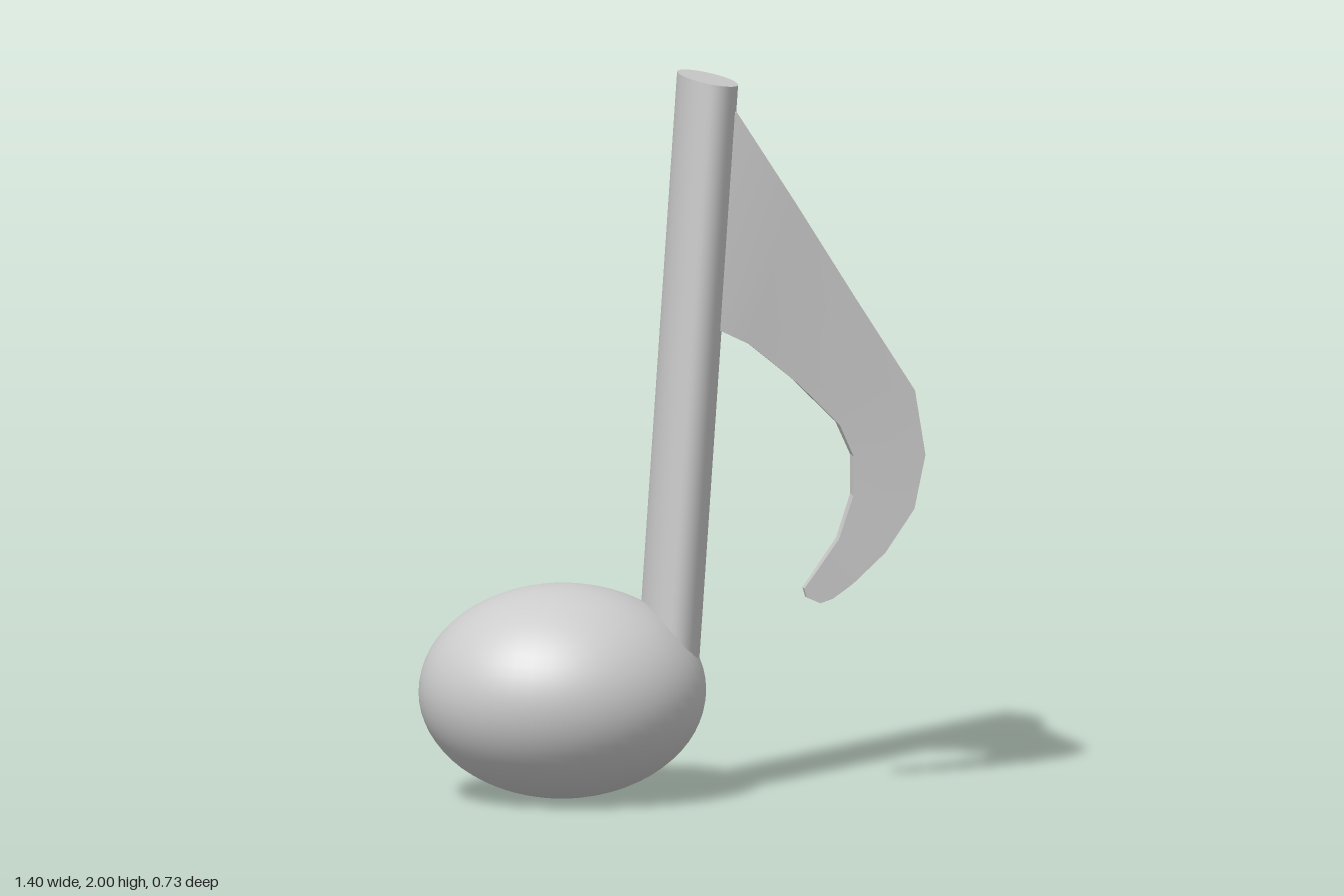
import * as THREE from 'three';
import { toCreasedNormals } from 'three/addons/utils/BufferGeometryUtils.js';

const grey = new THREE.MeshStandardMaterial({ color: 0xcccccc });

function addPart(group, name, geometry) {
  const mesh = new THREE.Mesh(geometry, grey);
  mesh.name = name;
  group.add(mesh);
  return mesh;
}

// Oval column leaning to +x, with a slanted top cap
function stemGeometry() {
  const bottom = 0.25, top = 1.985, rx = 0.082, rz = 0.147;
  const geo = new THREE.CylinderGeometry(1, 1, 1, 40, 1);
  const p = geo.attributes.position;
  for (let i = 0; i < p.count; i++) {
    const x = p.getX(i) * rx, t = p.getY(i) + 0.5;
    const y = bottom + (top - bottom) * t - 0.18 * x * t;
    p.setXYZ(i, -0.02 + 0.068 * (y - bottom) + x, y, p.getZ(i) * rz);
  }
  return toCreasedNormals(geo, 0.6);
}

// Curved flag: rectangular sections [outer x, y, inner x, y, half thickness]
function flagGeometry() {
  const sections = [
    [0.10, 1.90, 0.06, 1.295, 0.085],
    [0.165, 1.90, 0.12, 1.295, 0.085],
    [0.33, 1.645, 0.20, 1.255, 0.069],
    [0.50, 1.375, 0.34, 1.14, 0.05],
    [0.67, 1.11, 0.46, 1.02, 0.036],
    [0.70, 0.93, 0.50, 0.93, 0.031],
    [0.67, 0.78, 0.50, 0.82, 0.026],
    [0.59, 0.66, 0.46, 0.70, 0.022],
    [0.50, 0.575, 0.39, 0.60, 0.018],
    [0.445, 0.535, 0.365, 0.565, 0.015],
    [0.41, 0.523, 0.372, 0.54, 0.014],
  ];
  const pos = [], idx = [];
  for (const [ox, oy, ix, iy, h] of sections) {
    pos.push(ox, oy, h, ox, oy, -h, ix, iy, -h, ix, iy, h);
  }
  const quad = (a, b, c, d) => idx.push(a, b, c, a, c, d);
  for (let s = 0; s < sections.length - 1; s++) {
    for (let k = 0; k < 4; k++) {
      const a = s * 4 + k, b = s * 4 + (k + 1) % 4;
      quad(a, a + 4, b + 4, b);
    }
  }
  const e = (sections.length - 1) * 4;
  quad(0, 1, 2, 3);
  quad(e + 3, e + 2, e + 1, e);
  const geo = new THREE.BufferGeometry();
  geo.setAttribute('position', new THREE.Float32BufferAttribute(pos, 3));
  geo.setIndex(idx);
  return toCreasedNormals(geo, 0.3);
}

export function createModel() {
  const group = new THREE.Group();
  group.name = 'musicalNote';

  // Rounded note head
  const head = addPart(group, 'noteHead', new THREE.SphereGeometry(1, 48, 32));
  head.scale.set(0.396, 0.295, 0.365);
  head.position.set(-0.307, 0.297, 0);

  addPart(group, 'stem', stemGeometry());
  addPart(group, 'flag', flagGeometry());
  return group;
}
